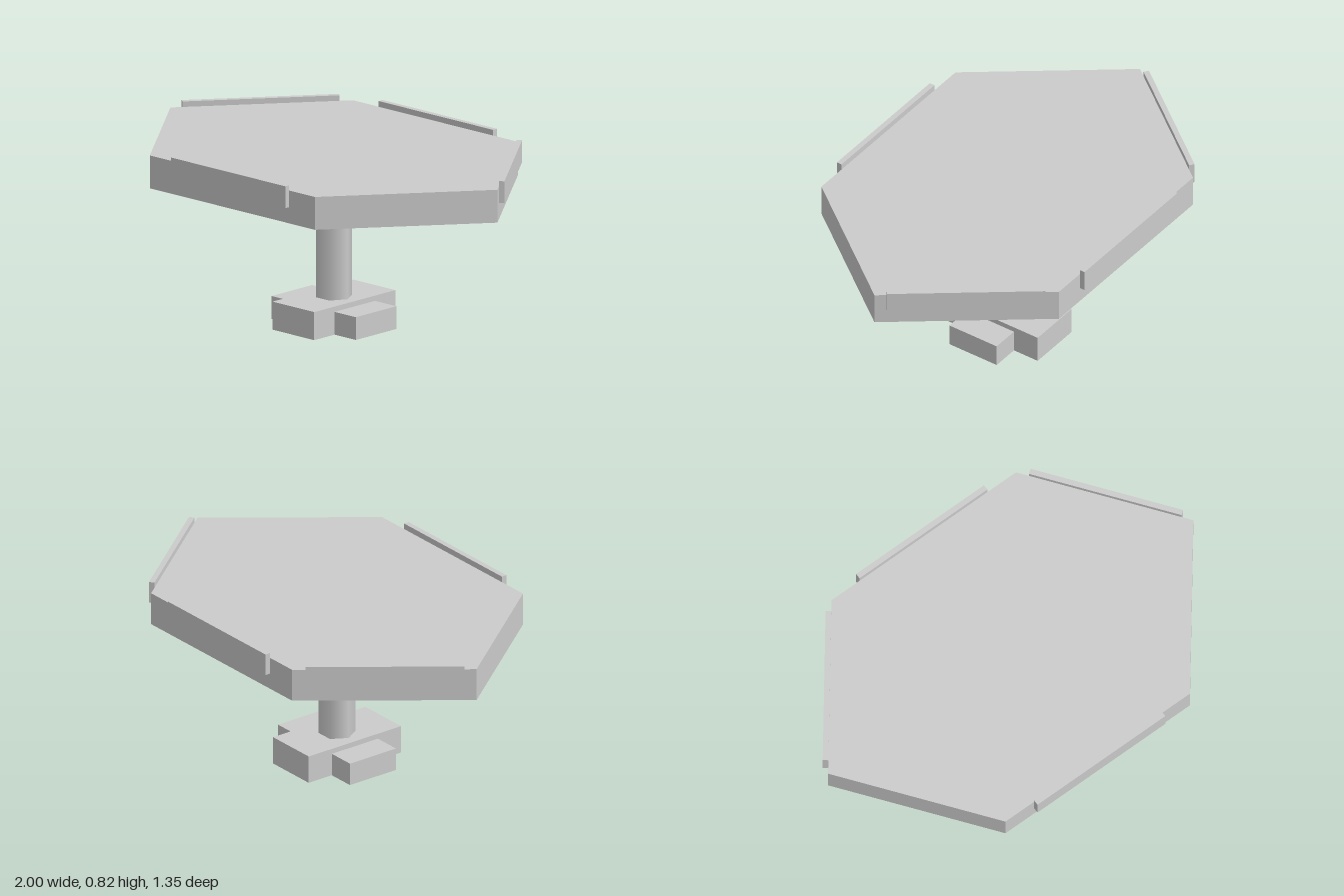
import * as THREE from 'three';

export function createModel() {
  const model = new THREE.Group();
  const smooth = new THREE.MeshStandardMaterial({ color: 0xcccccc });
  const flat = new THREE.MeshStandardMaterial({ color: 0xcccccc, flatShading: true });

  const add = (name, geometry, material, x, y, z, turn = 0) => {
    const mesh = new THREE.Mesh(geometry, material);
    mesh.name = name;
    mesh.position.set(x, y, z);
    mesh.rotation.y = turn;
    model.add(mesh);
  };

  // Hexagonal table top
  const cornerX = 0.505, cornerZ = 0.645, bottom = 0.65, top = 0.8;
  const outline = [[1, 0], [cornerX, cornerZ], [-cornerX, cornerZ], [-1, 0], [-cornerX, -cornerZ], [cornerX, -cornerZ]];
  const hexagon = new THREE.Shape(outline.map(([x, z]) => new THREE.Vector2(x, z)));
  const slab = new THREE.ExtrudeGeometry(hexagon, { depth: top - bottom, bevelEnabled: false });
  slab.rotateX(-Math.PI / 2);
  add('tableTop', slab, flat, 0, bottom, 0);

  // Six-sided column with a corner towards each side
  const column = new THREE.CylinderGeometry(0.083, 0.083, bottom - 0.12, 6, 1, false, Math.PI / 2);
  add('column', column, smooth, 0, (bottom + 0.12) / 2, 0);

  // Crossed foot: a taller bar front to back, a lower bar side to side
  add('footLengthwise', new THREE.BoxGeometry(0.255, 0.128, 0.515), flat, 0, 0.064, 0);
  add('footCrosswise', new THREE.BoxGeometry(0.515, 0.104, 0.257), flat, 0, 0.052, 0);

  // Edge rails: front, back and the two slanted back sides
  const rail = new THREE.BoxGeometry(0.7, 0.1, 0.025);
  const railY = 0.775;
  add('frontRail', rail, flat, 0, railY, 0.66);
  add('backRail', rail, flat, 0, railY, -0.66);
  const slant = Math.atan2(cornerZ, 1 - cornerX);
  for (const side of [1, -1]) {
    add(side > 0 ? 'leftBackRail' : 'rightBackRail', rail, flat, side * 0.764, railY, -0.328, -side * slant);
  }
  return model;
}
